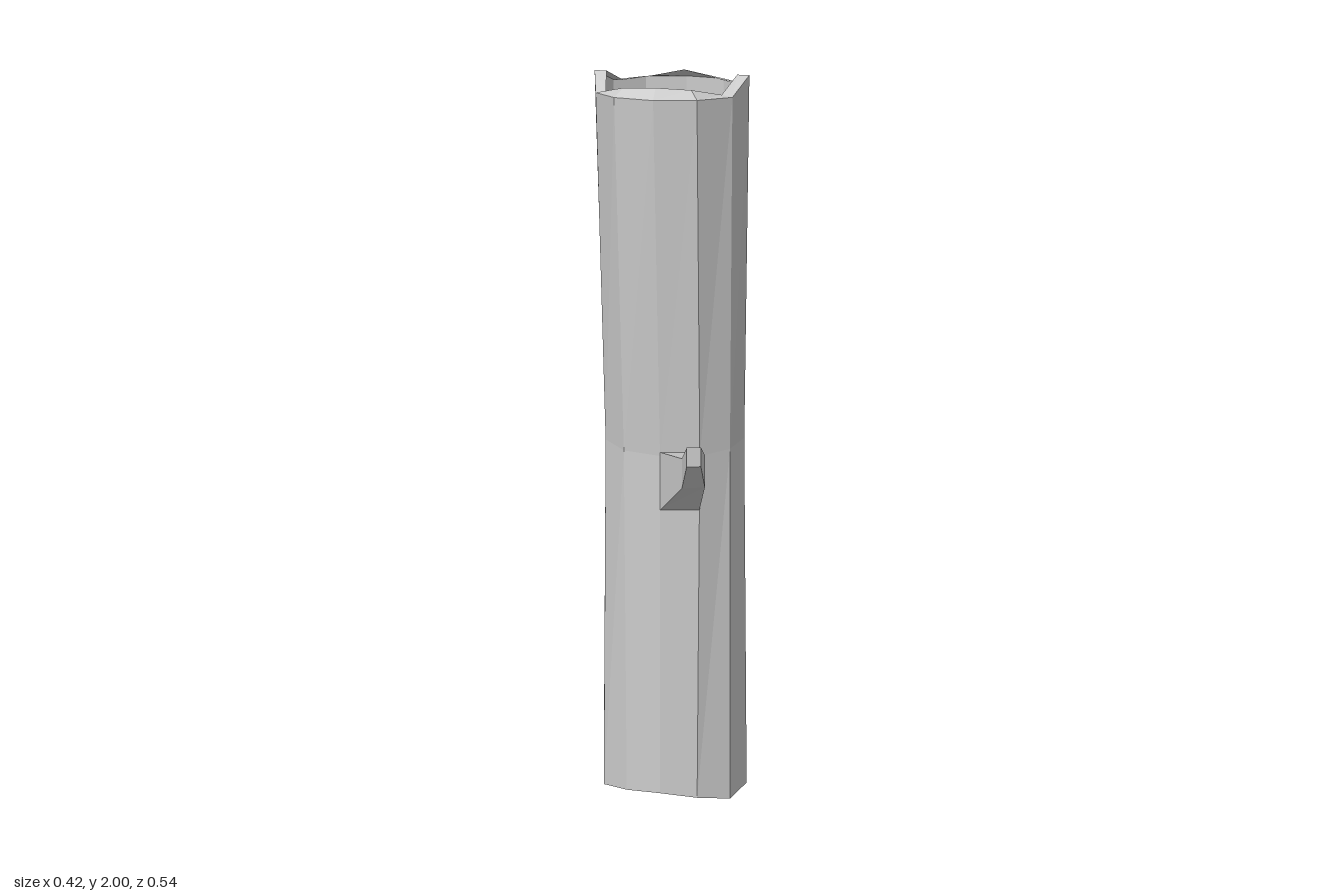
import * as THREE from 'three';

const material = new THREE.MeshStandardMaterial({
  color: 0xcccccc, flatShading: true, side: THREE.DoubleSide,
});

// Skin closed cross-sections (equal-length lists of [x, y, z]) in order.
function loft(name, sections, capEnd = false) {
  const n = sections[0].length;
  const index = [];
  for (let r = 0; r < sections.length - 1; r++) {
    for (let i = 0; i < n; i++) {
      const j = (i + 1) % n;
      const a = r * n + i, b = r * n + j, c = b + n, d = a + n;
      index.push(a, b, c, a, c, d);
    }
  }
  if (capEnd) {
    const s = (sections.length - 1) * n;
    for (let i = 1; i < n - 1; i++) index.push(s, s + i, s + i + 1);
  }
  const geometry = new THREE.BufferGeometry();
  geometry.setAttribute('position', new THREE.Float32BufferAttribute(sections.flat(2), 3));
  geometry.setIndex(index);
  const flat = geometry.toNonIndexed();
  flat.computeVertexNormals();
  const mesh = new THREE.Mesh(flat, material);
  mesh.name = name;
  return mesh;
}

// Mirror seven points (front to back, left half) into a twelve-sided ring.
function ring(half) {
  const mirrored = half.slice(1, 6).reverse().map(([x, y, z]) => [-x, y, z]);
  return [...half, ...mirrored];
}

export function createModel() {
  const group = new THREE.Group();
  group.name = 'hollowTrunk';

  const bottomInner = ring([
    [0, 0.05, 0.055], [0.085, 0.035, 0.03], [0.15, 0.01, -0.015], [0.175, 0.005, -0.1],
    [0.15, 0.025, -0.18], [0.085, 0.035, -0.215], [0, 0.04, -0.235],
  ]);
  const bottomOuter = ring([
    [0, 0.055, 0.085], [0.1, 0.04, 0.063], [0.182, 0.01, 0], [0.21, 0, -0.11],
    [0.182, 0.025, -0.205], [0.105, 0.03, -0.245], [0, 0.03, -0.27],
  ]);
  const middle = ring([
    [0, 1.05, 0.08], [0.1, 1.05, 0.06], [0.166, 1.05, -0.01], [0.188, 1.05, -0.1],
    [0.166, 1.05, -0.165], [0.1, 1.05, -0.222], [0, 1.05, -0.247],
  ]);
  const topOuter = ring([
    [0, 1.965, 0.15], [0.1, 1.965, 0.126], [0.168, 1.96, 0.035], [0.193, 2, -0.055],
    [0.168, 1.965, -0.145], [0.1, 1.965, -0.217], [0, 1.965, -0.24],
  ]);
  const topInner = ring([
    [0, 1.99, 0.122], [0.082, 1.985, 0.105], [0.142, 1.965, 0.035], [0.163, 2, -0.055],
    [0.142, 1.965, -0.142], [0.082, 1.97, -0.192], [0, 1.985, -0.212],
  ]);

  // Bent bark wall with uneven rims at both open ends
  group.add(
    loft('trunkWall', [bottomOuter, middle, topOuter]),
    loft('bottomRim', [bottomInner, bottomOuter]),
    loft('topRim', [topOuter, topInner]),
  );

  // Broken branch stub, tapering outwards and upwards
  group.add(loft('branchStub', [
    [[0, 0.9, 0.08], [0.1, 0.9, 0.06], [0.1, 1.06, 0.06], [0, 1.06, 0.08]],
    [[0.08, 1.01, 0.19], [0.135, 1.01, 0.17], [0.135, 1.095, 0.17], [0.08, 1.09, 0.19]],
    [[0.108, 1.1, 0.268], [0.142, 1.1, 0.26], [0.142, 1.15, 0.26], [0.108, 1.15, 0.268]],
  ], true));

  return group;
}
